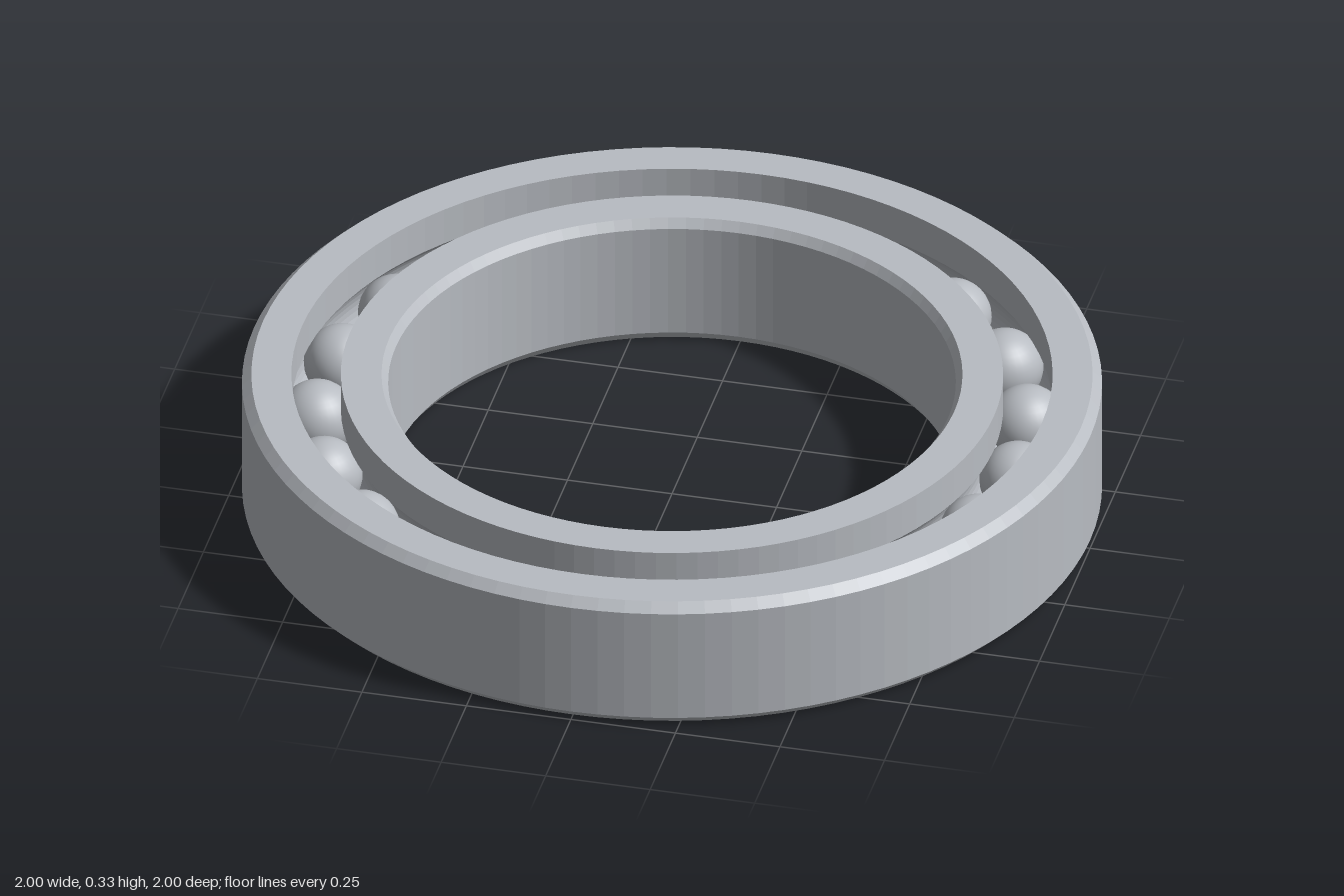
import * as THREE from 'three';

const HEIGHT = 0.33, MID = HEIGHT / 2, CHAMFER = 0.022;
const PITCH = 0.8275;        // radius of the circle of ball centres
const BALL = 0.09, GROOVE = 0.092, BALLS = 21;
const OUTER = 1, OUTER_LIP = 0.885, INNER_LIP = 0.77, BORE = 0.66;

// Raceway arc in the ring's cross-section, from one angle to another
function raceway(from, to, steps = 12) {
  return Array.from({ length: steps + 1 }, (_, i) => {
    const a = from + (to - from) * i / steps;
    return [PITCH + GROOVE * Math.cos(a), MID + GROOVE * Math.sin(a)];
  });
}

// Closed counterclockwise cross-section turned around y, with crisp facets
function ring(name, profile, material) {
  const points = [...profile, profile[0]].map(([r, y]) => new THREE.Vector2(r, y));
  const geometry = new THREE.LatheGeometry(points, 100).toNonIndexed();
  geometry.computeVertexNormals();
  const mesh = new THREE.Mesh(geometry, material);
  mesh.name = name;
  return mesh;
}

export function createModel() {
  const model = new THREE.Group();
  model.name = 'ballBearing';
  const steel = new THREE.MeshStandardMaterial({ color: 0xb8bcc2 });
  steel.name = 'steel';

  // Outer race: chamfered outside, grooved inside
  const a = Math.acos((OUTER_LIP - PITCH) / GROOVE);
  model.add(ring('outerRace', [
    [OUTER_LIP, 0], [OUTER - CHAMFER, 0], [OUTER, CHAMFER],
    [OUTER, HEIGHT - CHAMFER], [OUTER - CHAMFER, HEIGHT], [OUTER_LIP, HEIGHT],
    ...raceway(a, -a),
  ], steel));

  // Inner race: grooved outside, chamfered at the bore
  const b = Math.acos((PITCH - INNER_LIP) / GROOVE);
  model.add(ring('innerRace', [
    [BORE + CHAMFER * 0.7, 0], [INNER_LIP, 0],
    ...raceway(Math.PI + b, Math.PI - b),
    [INNER_LIP, HEIGHT], [BORE + CHAMFER * 0.7, HEIGHT],
    [BORE, HEIGHT - CHAMFER], [BORE, CHAMFER],
  ], steel));

  // Balls evenly spaced between the races, the first on +x
  const balls = new THREE.Group();
  balls.name = 'balls';
  const ballGeometry = new THREE.SphereGeometry(BALL, 32, 20);
  for (let i = 0; i < BALLS; i++) {
    const t = i / BALLS * Math.PI * 2;
    const ball = new THREE.Mesh(ballGeometry, steel);
    ball.name = 'ball';
    ball.position.set(PITCH * Math.cos(t), MID, PITCH * Math.sin(t));
    balls.add(ball);
  }
  model.add(balls);
  return model;
}
